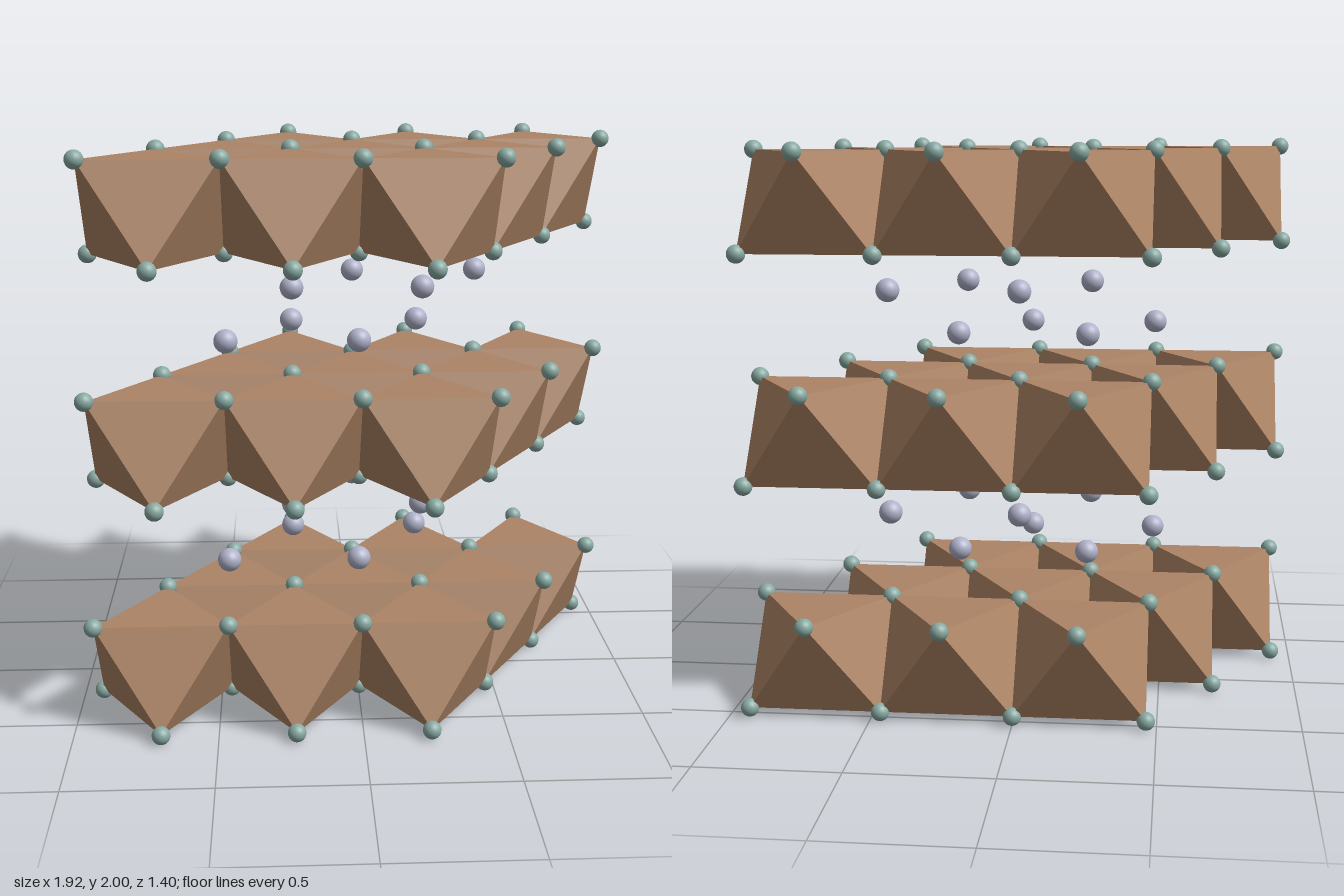
import * as THREE from 'three';
import { ConvexGeometry } from 'three/addons/geometries/ConvexGeometry.js';

const A = 0.4635;            // spacing along a row
const ROW = 0.4014;          // spacing between rows
const HALF = A / 2;
const THIRD = ROW / 3;
const LAYER_HEIGHT = 0.342;
const LAYER_STEP = 0.797;
const CORNER_RADIUS = 0.032;
const ION_RADIUS = 0.042;

const paint = (color, flatShading = false) =>
  new THREE.MeshStandardMaterial({ color, flatShading });

export function createModel() {
  const model = new THREE.Group();
  const brown = paint(0xad8465, true);
  const teal = paint(0x88a9a2);
  const lilac = paint(0xb0b2ca);

  // Flattened octahedron: one triangle on top, the opposite one below
  const triangle = (y, s) => [[0, -2 * THIRD], [HALF, THIRD], [-HALF, THIRD]]
    .map(([x, z]) => new THREE.Vector3(x, y, z * s));
  const corners = [
    ...triangle(LAYER_HEIGHT / 2, 1),
    ...triangle(-LAYER_HEIGHT / 2, -1),
  ];
  const octahedronGeometry = new ConvexGeometry(corners);
  const cornerGeometry = new THREE.SphereGeometry(CORNER_RADIUS, 20, 14);
  const ionGeometry = new THREE.SphereGeometry(ION_RADIUS, 24, 16);

  const add = (parent, geometry, material, name, position) => {
    const mesh = new THREE.Mesh(geometry, material);
    mesh.name = name;
    mesh.position.copy(position);
    parent.add(mesh);
  };

  // Three sheets of 3 x 3 edge-sharing octahedra, with one ball per shared corner
  for (let layer = 0; layer < 3; layer++) {
    const sheet = new THREE.Group();
    sheet.name = 'octahedronSheet';
    sheet.position.y = CORNER_RADIUS + LAYER_HEIGHT / 2 + layer * LAYER_STEP;
    const balls = new Map();
    for (let row = -1; row <= 1; row++) {
      for (let col = -1; col <= 1; col++) {
        const centre = new THREE.Vector3(col * A - row * HALF, 0, row * ROW);
        add(sheet, octahedronGeometry, brown, 'octahedron', centre);
        for (const corner of corners) {
          const p = corner.clone().add(centre);
          const key = [p.x, p.y, p.z].map((v) => Math.round(v * 100)).join();
          // Nearly equal sums can round apart, so test the distance as well
          if (![...balls.values()].some((q) => q.distanceTo(p) < 0.01)) balls.set(key, p);
        }
      }
    }
    for (const p of balls.values()) add(sheet, cornerGeometry, teal, 'cornerBall', p);
    model.add(sheet);
  }

  // Loose balls in two levels within each gap between sheets
  for (let gap = 0; gap < 2; gap++) {
    const ions = new THREE.Group();
    ions.name = 'gapBalls';
    ions.position.y = gap * LAYER_STEP;
    for (let row = 0; row < 2; row++) {
      for (let col = 0; col < 2; col++) {
        const x = col * A - row * HALF;
        const z = row * ROW;
        add(ions, ionGeometry, lilac, 'lowerGapBall',
          new THREE.Vector3(x - HALF, 0.521, z - THIRD));
        add(ions, ionGeometry, lilac, 'upperGapBall',
          new THREE.Vector3(x, 0.685, z - 2 * THIRD));
      }
    }
    model.add(ions);
  }
  return model;
}
